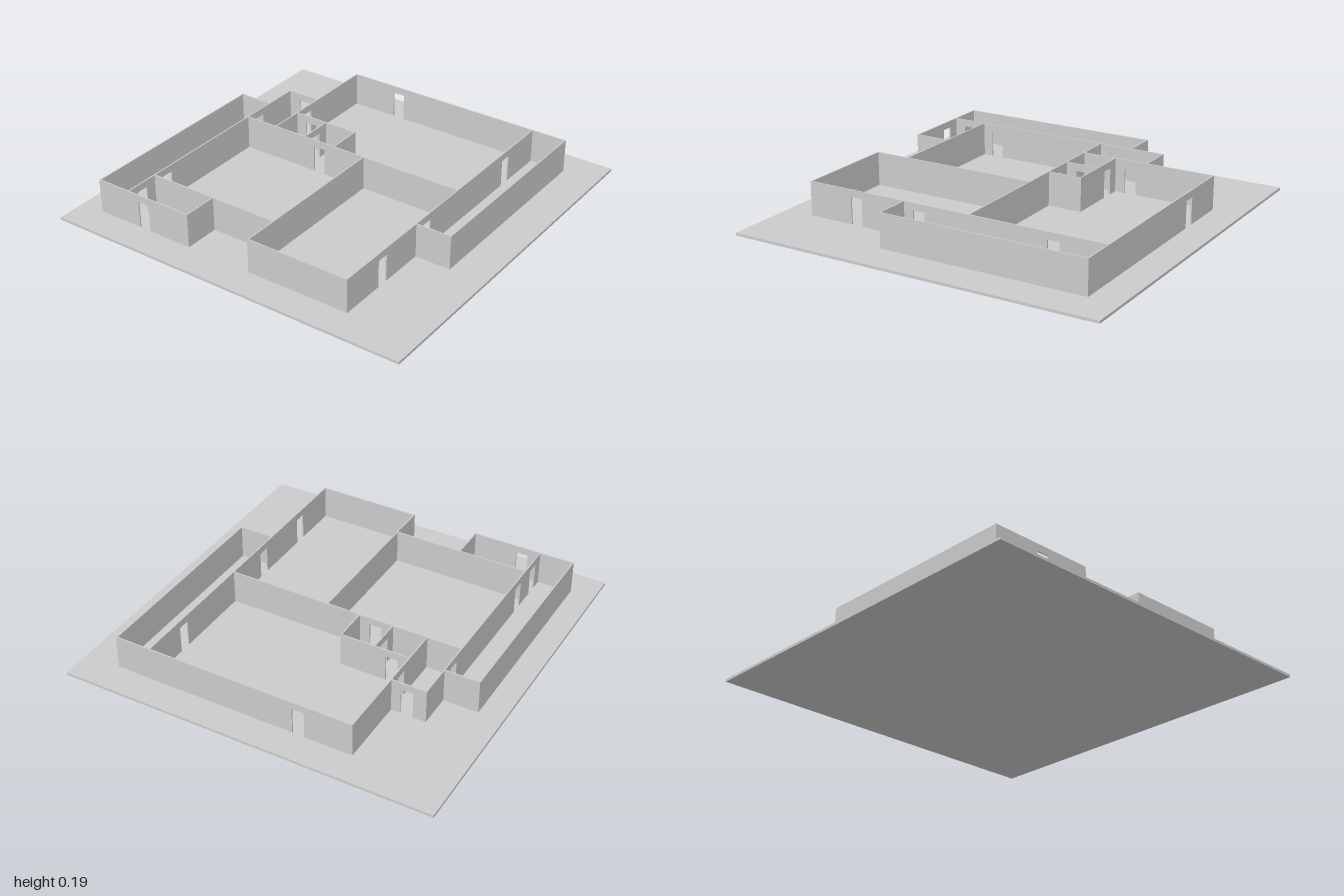
import * as THREE from 'three';

const FLOOR = 0.014, TOP = 0.195, DOOR_TOP = 0.157, DOOR_W = 0.065, T = 0.007;
const material = new THREE.MeshStandardMaterial({ color: 0xcccccc, flatShading: true });

// Upright wall outline from a to b along its run, notched at each door centre
function wallGeometry(a, b, doors) {
  const s = new THREE.Shape();
  s.moveTo(a, FLOOR);
  for (const d of doors) {
    s.lineTo(d - DOOR_W / 2, FLOOR);
    s.lineTo(d - DOOR_W / 2, DOOR_TOP);
    s.lineTo(d + DOOR_W / 2, DOOR_TOP);
    s.lineTo(d + DOOR_W / 2, FLOOR);
  }
  s.lineTo(b, FLOOR);
  s.lineTo(b, TOP);
  s.lineTo(a, TOP);
  s.closePath();
  return new THREE.ExtrudeGeometry(s, { depth: T, bevelEnabled: false }).translate(0, 0, -T / 2);
}

// Walls running along x: name, z, x start, x end, door centres
const crossWalls = [
  ['backPorchWall', -0.868, -0.835, 0.28, []],
  ['backWall', -0.684, -0.83, 0.463, [-0.74, -0.557, 0.185]],
  ['backLeftWall', -0.5, 0.095, 0.833, [0.37]],
  ['sideRoomFrontWall', -0.312, -0.835, -0.645, []],
  ['closetDividerWall', -0.312, 0.095, 0.28, [0.187]],
  ['closetFrontWall', -0.128, 0.095, 0.28, []],
  ['middleWall', 0.056, -0.835, 0.095, []],
  ['frontWall', 0.612, -0.835, 0.833, [-0.557, -0.187, 0.552]],
  ['frontPorchWall', 0.802, -0.275, 0.833, []],
];

// Walls running along z: name, x, z start, z end, door centres
const lengthWalls = [
  ['backRightOuterWall', -0.835, -0.868, -0.312, [-0.586]],
  ['backPorchLeftWall', 0.28, -0.868, -0.684, []],
  ['entryLeftWall', 0.463, -0.684, -0.5, [-0.586]],
  ['leftOuterWall', 0.833, -0.5, 0.802, [-0.216]],
  ['closetLeftWall', 0.28, -0.5, -0.128, [-0.406]],
  ['centreWall', 0.095, -0.684, 0.612, [-0.218]],
  ['sideRoomWall', -0.645, -0.684, 0.056, []],
  ['frontRightOuterWall', -0.835, 0.056, 0.612, []],
  ['frontPorchRightWall', -0.275, 0.612, 0.802, []],
];

export function createModel() {
  const model = new THREE.Group();
  model.name = 'floorPlanHouse';

  // Ground slab
  const slab = new THREE.Mesh(new THREE.BoxGeometry(2, FLOOR, 2), material);
  slab.name = 'groundSlab';
  slab.position.y = FLOOR / 2;
  model.add(slab);

  // Walls across the house, lengthened to close the corners
  for (const [name, z, a, b, doors] of crossWalls) {
    const wall = new THREE.Mesh(wallGeometry(a - T / 2, b + T / 2, doors), material);
    wall.name = name;
    wall.position.z = z;
    model.add(wall);
  }

  // Walls along the depth, turned so that their run follows +z
  for (const [name, x, a, b, doors] of lengthWalls) {
    const wall = new THREE.Mesh(wallGeometry(a, b, doors), material);
    wall.name = name;
    wall.rotation.y = -Math.PI / 2;
    wall.position.x = x;
    model.add(wall);
  }
  return model;
}
